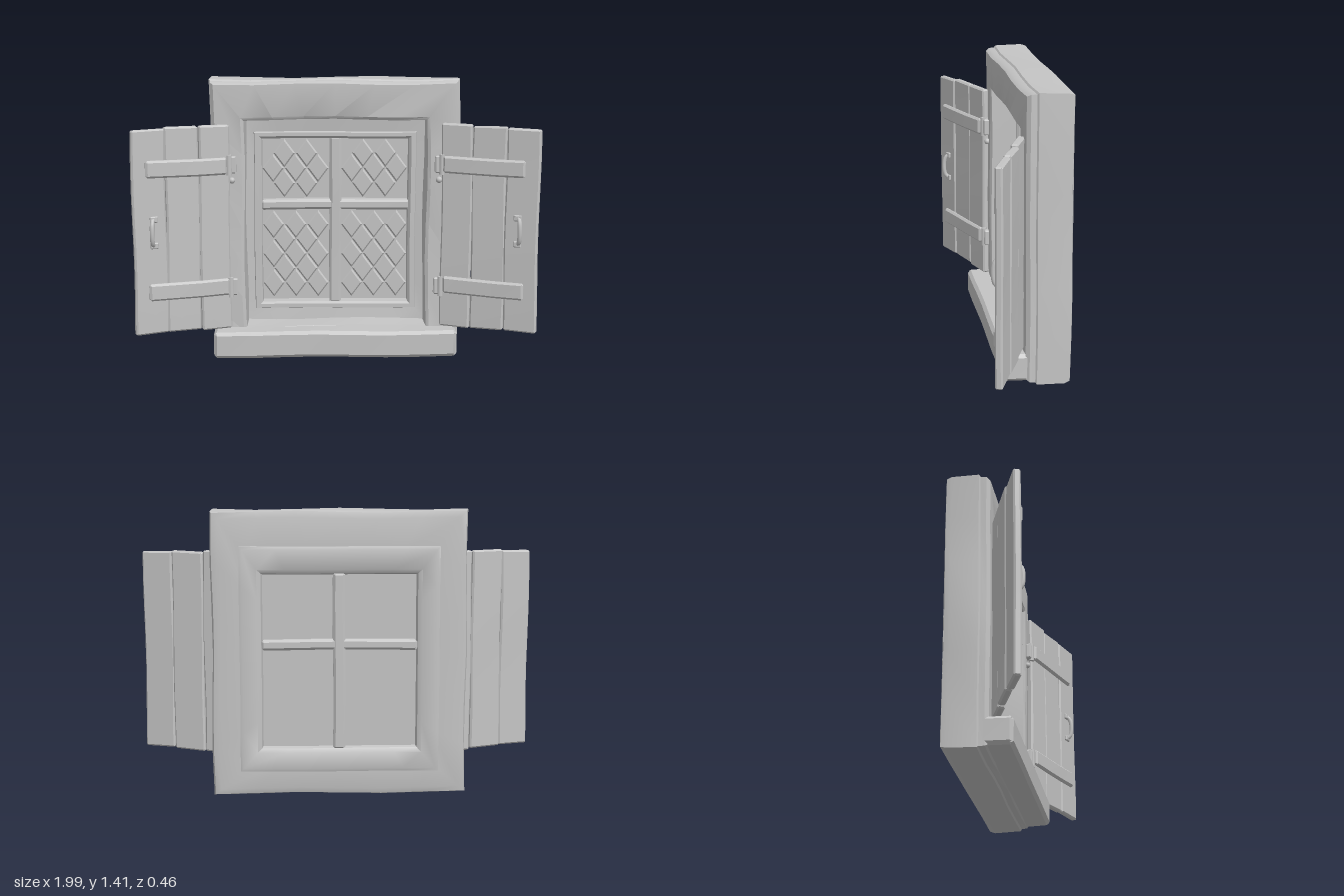
import * as THREE from 'three';
import { mergeGeometries, toCreasedNormals } from 'three/addons/utils/BufferGeometryUtils.js';

const grey = new THREE.MeshStandardMaterial({ color: 0xc4c4c4 });
grey.name = 'plain grey';

// Gentle hand-hewn waviness that depends only on position
function hew(geo, amp, seed = 0) {
  const p = geo.attributes.position;
  for (let i = 0; i < p.count; i++) {
    const x = p.getX(i), y = p.getY(i), z = p.getZ(i);
    p.setXYZ(i,
      x + amp * Math.sin(y * 7 + z * 9 + seed),
      y + amp * Math.sin(x * 8 + z * 11 + seed * 2),
      z + amp * 0.5 * Math.sin(x * 9 + y * 6 + seed * 3));
  }
  return toCreasedNormals(geo, 0.6);
}

function add(parent, name, geo, x = 0, y = 0, z = 0) {
  const m = new THREE.Mesh(geo, grey);
  m.name = name;
  m.position.set(x, y, z);
  parent.add(m);
  return m;
}

// Chamfered, slightly uneven wooden block
function block(w, h, d, bevel = 0.008, amp = 0.003, seed = 0) {
  const size = [w, h, d];
  const segs = size.map(s => Math.max(3, Math.min(9, Math.round(s / 0.12) + 2)));
  const geo = new THREE.BoxGeometry(w, h, d, ...segs);
  const p = geo.attributes.position;
  for (let i = 0; i < p.count; i++) {
    const idx = size.map((s, a) => Math.round((p.getComponent(i, a) / s + 0.5) * segs[a]));
    const edge = idx.map((k, a) => k === 0 || k === segs[a]);
    const count = edge.filter(Boolean).length;
    idx.forEach((k, a) => {
      const half = size[a] / 2;
      let v;
      if (edge[a]) v = half - (count > 1 ? bevel * 0.5 : 0);
      else v = Math.abs((k - 1) / (segs[a] - 2) * 2 - 1) * (half - bevel);
      p.setComponent(i, a, (k * 2 < segs[a] ? -1 : 1) * v);
    });
  }
  return hew(geo, amp, seed);
}

// Mitred rectangular moulding; each loop is [halfWidth, bottom, top, z]
function moulding(loops, amp, seed = 0) {
  const n = 6, per = 4 * n, pos = [], index = [];
  for (const [w, b, t, z] of loops) {
    const c = [[w, b], [w, t], [-w, t], [-w, b]];
    for (let s = 0; s < 4; s++) {
      for (let i = 0; i < n; i++) {
        const [x0, y0] = c[s], [x1, y1] = c[(s + 1) % 4], f = i / n;
        pos.push(x0 + (x1 - x0) * f, y0 + (y1 - y0) * f, z);
      }
    }
  }
  for (let k = 0; k < loops.length - 1; k++) {
    for (let i = 0; i < per; i++) {
      const j = (i + 1) % per;
      const a = k * per + i, b = k * per + j, c = b + per, d = a + per;
      index.push(a, b, c, a, c, d);
    }
  }
  const geo = new THREE.BufferGeometry();
  geo.setAttribute('position', new THREE.Float32BufferAttribute(pos, 3));
  geo.setIndex(index);
  return hew(geo, amp, seed);
}

// Plank shutter standing open; s is +1 for the left one and -1 for the right
function shutter(s) {
  const g = new THREE.Group();
  g.name = s > 0 ? 'leftShutter' : 'rightShutter';
  g.position.set(s * 0.53, 0, 0.03);
  g.rotation.y = -s * 0.37;
  const widths = [0.155, 0.17, 0.165];
  let x = 0;
  widths.forEach((w, i) => {
    add(g, 'plank', block(w, 1.03 - 0.008 * i, 0.036, 0.008, 0.003, i * 2 + s),
      s * (x + w / 2), 0.677, i === 1 ? -0.004 : 0);
    x += w;
  });
  for (const y of [0.99, 0.38]) {
    add(g, 'batten', block(0.41, 0.085, 0.026, 0.01, 0.003, y * 5), s * 0.22, y, 0.024);
  }
  // Pull handle
  const path = new THREE.CatmullRomCurve3([
    [0, -0.07, 0.012], [0.012 * s, -0.05, 0.034], [0.016 * s, 0, 0.042],
    [0.012 * s, 0.05, 0.034], [0, 0.07, 0.012],
  ].map(v => new THREE.Vector3(...v)));
  add(g, 'handle', new THREE.TubeGeometry(path, 14, 0.011, 8), s * 0.39, 0.68, 0);
  for (const y of [-0.065, 0.065]) add(g, 'handleFoot', block(0.04, 0.03, 0.014, 0.004, 0), s * 0.39, 0.68 + y, 0.022);
  return g;
}

// Relief of diamond shaped glass pieces in one pane
function diamonds(x0, x1, y0, y1) {
  const parts = [], dx = 0.115, dy = 0.155;
  const cx = (x0 + x1) / 2, cy = (y0 + y1) / 2;
  for (let r = -6; r <= 6; r++) {
    for (let c = -4; c <= 4; c++) {
      const x = cx + (c + (r % 2 ? 0.5 : 0)) * dx, y = cy + r * dy / 2;
      if (x - dx / 2 < x0 || x + dx / 2 > x1 || y - dy / 2 < y0 || y + dy / 2 > y1) continue;
      const geo = new THREE.CylinderGeometry(0.8, 0.97, 0.01, 4);
      geo.rotateX(Math.PI / 2);
      geo.scale(dx / 2, dy / 2, 1);
      geo.translate(x, y, 0);
      parts.push(toCreasedNormals(geo, 0.1));
    }
  }
  return mergeGeometries(parts);
}

export function createModel() {
  const model = new THREE.Group();
  model.name = 'shutteredWindow';

  // Heavy outer frame
  add(model, 'frame', moulding([
    [0.46, 0.15, 1.21, -0.198], [0.585, 0.04, 1.37, -0.204], [0.614, 0.014, 1.4, -0.196],
    [0.622, 0.006, 1.406, -0.17], [0.622, 0.006, 1.406, -0.035], [0.614, 0.014, 1.398, -0.028],
    [0.614, 0.016, 1.396, 0], [0.598, 0.03, 1.385, 0.017], [0.47, 0.14, 1.225, 0.02],
    [0.455, 0.155, 1.21, 0.01], [0.45, 0.16, 1.205, -0.13],
  ], 0.005, 1));

  // Stepped sash on the front, trim on the back
  add(model, 'sash', moulding([
    [0.456, 0.15, 1.215, -0.12], [0.412, 0.215, 1.135, -0.128], [0.408, 0.22, 1.13, -0.112],
    [0.385, 0.24, 1.112, -0.112], [0.374, 0.25, 1.1, -0.125], [0.372, 0.252, 1.098, -0.178],
  ], 0.002, 2));
  add(model, 'backTrim', moulding([
    [0.372, 0.252, 1.098, -0.185], [0.38, 0.245, 1.105, -0.215], [0.4, 0.225, 1.125, -0.228],
    [0.47, 0.145, 1.22, -0.231], [0.485, 0.13, 1.235, -0.226], [0.485, 0.13, 1.235, -0.19],
  ], 0.001, 3));

  // Cross bars
  add(model, 'uprightBar', block(0.06, 0.87, 0.1, 0.012, 0.002), 0.002, 0.675, -0.172);
  add(model, 'crossBar', block(0.76, 0.052, 0.094, 0.012, 0.002, 1), 0, 0.758, -0.172);

  // Glass and its diamond relief
  add(model, 'glass', new THREE.BoxGeometry(0.77, 0.87, 0.009), 0, 0.675, -0.185);
  for (const [x0, x1] of [[-0.375, -0.028], [0.028, 0.375]]) {
    for (const [y0, y1] of [[0.25, 0.735], [0.782, 1.1]]) {
      add(model, 'diamondGlass', diamonds(x0, x1, y0, y1), 0, 0, -0.176);
    }
  }

  // Sill
  add(model, 'sill', block(1.22, 0.135, 0.15, 0.016, 0.003, 4), 0, 0.088, 0.05);

  // Shutters and the hinges that carry them
  for (const s of [1, -1]) {
    model.add(shutter(s));
    for (const y of [0.99, 0.37]) {
      add(model, 'hingePlate', block(0.055, 0.085, 0.03, 0.006, 0.001), s * 0.52, y, 0.032);
      add(model, 'hingePin', new THREE.CylinderGeometry(0.014, 0.014, 0.1, 10), s * 0.527, y, 0.045);
    }
    add(model, 'hingeStud', new THREE.SphereGeometry(0.016, 10, 8), s * 0.515, 0.91, 0.025);
  }
  return model;
}
